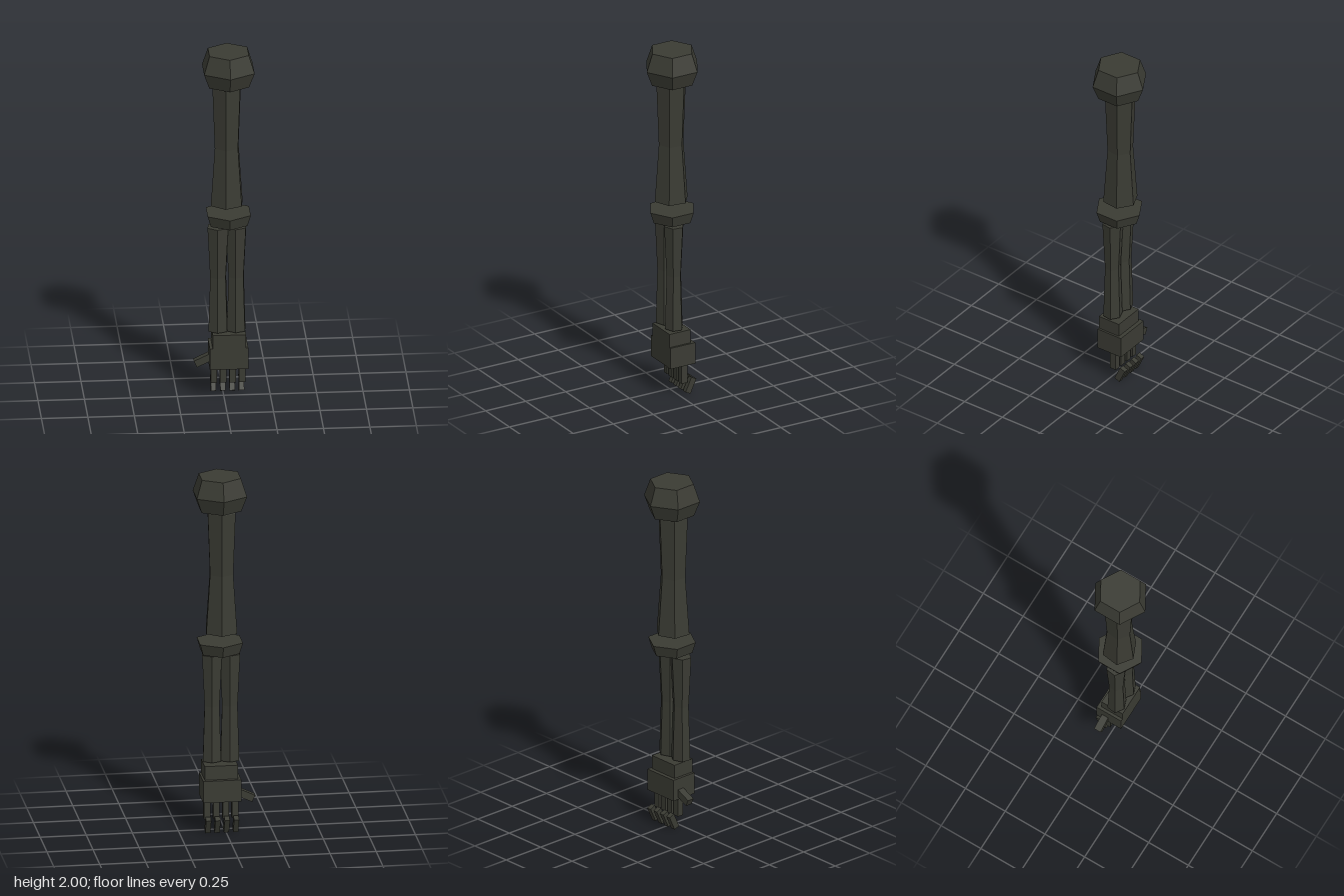
import * as THREE from 'three';

const material = new THREE.MeshStandardMaterial({ color: 0x3a3b33, flatShading: true });

// Closed six-sided solid from [radius, y] rings listed bottom to top; a corner points to +z.
function hexSolid(name, rings, x, z = 0, twist = 0, scaleX = 1) {
  const profile = [[0, rings[0][1]], ...rings, [0, rings[rings.length - 1][1]]];
  const geometry = new THREE.LatheGeometry(profile.map(([r, y]) => new THREE.Vector2(r, y)), 6);
  geometry.rotateY(twist).scale(scaleX, 1, 1);
  const mesh = new THREE.Mesh(geometry, material);
  mesh.name = name;
  mesh.position.set(x, 0, z);
  return mesh;
}

function box(name, size, position) {
  const mesh = new THREE.Mesh(new THREE.BoxGeometry(...size), material);
  mesh.name = name;
  mesh.position.set(...position);
  return mesh;
}

export function createModel() {
  const arm = new THREE.Group();
  arm.name = 'arm';

  // Shoulder ball and the waisted upper arm
  arm.add(hexSolid('shoulder', [[0.124, 1.815], [0.157, 1.9], [0.122, 2]], 0.025));
  arm.add(hexSolid('upperArm', [[0.096, 1.12], [0.072, 1.45], [0.086, 1.8], [0.078, 1.82]], 0.016, 0, -0.12));

  // Elbow cap floating between the upper arm and forearm
  arm.add(hexSolid('elbow', [[0.114, 1.007], [0.134, 1.07]], 0.025));

  // Two forearm bones side by side
  const bone = [[0.051, 0.388], [0.042, 0.7], [0.056, 0.99]];
  arm.add(hexSolid('outerForearmBone', bone, -0.031, 0.013, -0.12, 1.14));
  arm.add(hexSolid('innerForearmBone', bone, 0.066, 0.013, -0.12, 1.1));

  // Hand
  const hand = new THREE.Group();
  hand.name = 'hand';
  hand.add(box('wrist', [0.18, 0.08, 0.132], [0.026, 0.338, 0.003]));
  hand.add(box('palm', [0.207, 0.122, 0.154], [0.024, 0.24, -0.008]));

  // Thumb angled down and outward
  const thumb = box('thumb', [0.12, 0.04, 0.04], [-0.097, 0.206, -0.032]);
  thumb.rotation.z = 0.44;
  hand.add(thumb);

  // Four fingers, each a straight knuckle and a tilted tip
  for (let i = 0; i < 4; i++) {
    const x = -0.052 + i * 0.0505;
    hand.add(box('fingerBase', [0.034, 0.12, 0.037], [x, 0.132, -0.024]));
    const tip = box('fingerTip', [0.028, 0.088, 0.034], [x, 0.048, -0.066]);
    tip.rotation.x = -0.43;
    hand.add(tip);
  }
  arm.add(hand);
  return arm;
}
